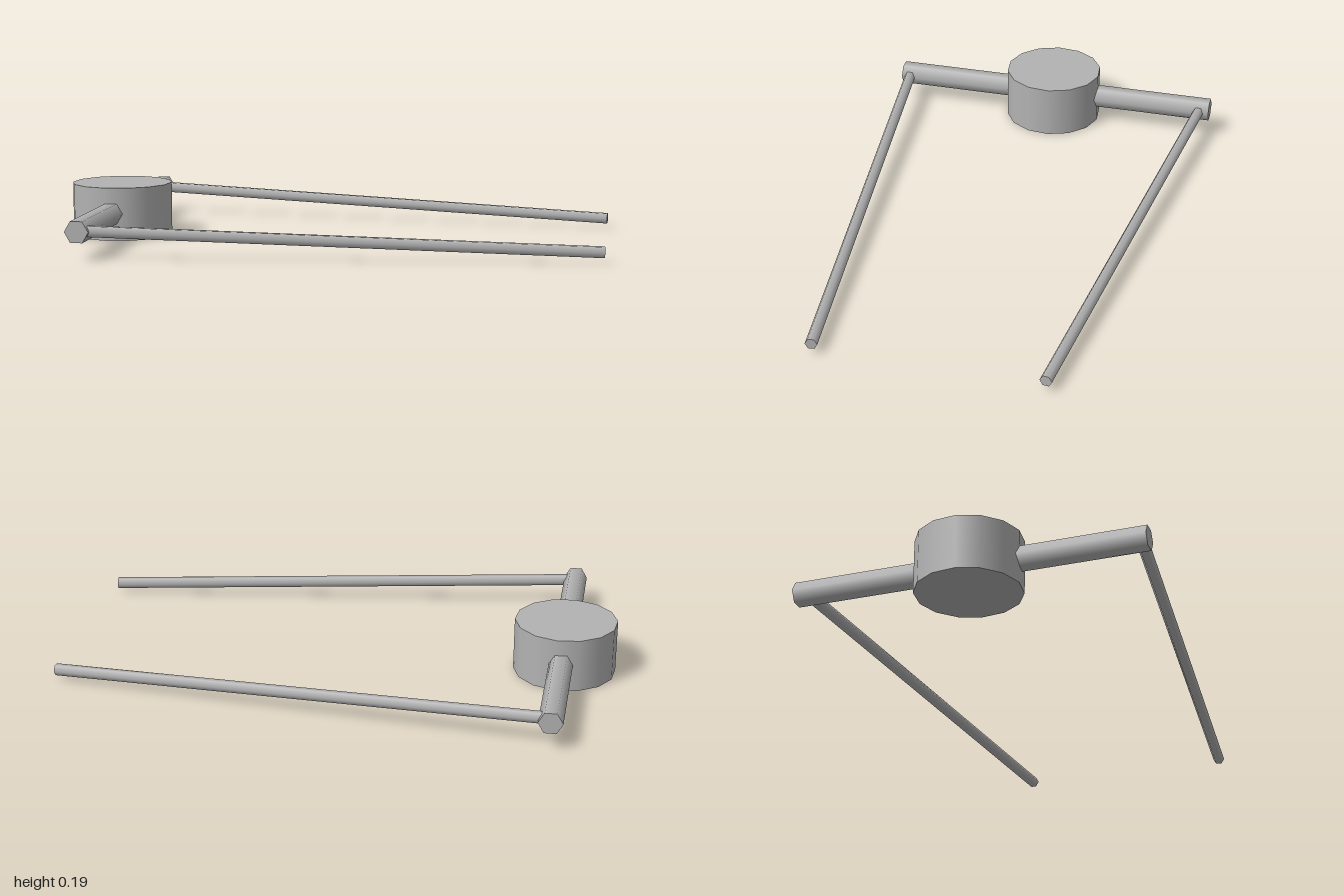
import * as THREE from 'three';

export function createModel() {
  const group = new THREE.Group();
  const grey = new THREE.MeshStandardMaterial({ color: 0xb3b3b3 });
  grey.name = 'grey';

  // Six-sided bar between two points, with flats facing up and down
  function bar(name, start, end, radius) {
    const a = new THREE.Vector3(...start), b = new THREE.Vector3(...end);
    const geometry = new THREE.CylinderGeometry(radius, radius, a.distanceTo(b), 6);
    geometry.rotateY(Math.PI / 2); // corners to the sides
    geometry.rotateX(Math.PI / 2); // length along z
    const mesh = new THREE.Mesh(geometry, grey);
    mesh.name = name;
    mesh.position.copy(a).add(b).multiplyScalar(0.5);
    mesh.lookAt(b);
    group.add(mesh);
  }

  // Fourteen-sided drum in the middle of the crossbar
  const hub = new THREE.Mesh(new THREE.CylinderGeometry(0.181, 0.181, 0.19, 14), grey);
  hub.name = 'hub';
  hub.rotation.y = Math.PI / 2;
  hub.position.set(-0.531, 0.095, 0.531);
  group.add(hub);

  // Crossbar through the hub
  bar('crossbar', [-0.966, 0.097, 0.09], [-0.098, 0.097, 0.96], 0.042);

  // Two long rods, mirrored across the diagonal, sloping down to their tips
  bar('rightRod', [-0.92, 0.097, 0.1], [0.433, 0.039, -0.984], 0.021);
  bar('leftRod', [-0.1, 0.097, 0.92], [0.984, 0.039, -0.433], 0.021);

  return group;
}
